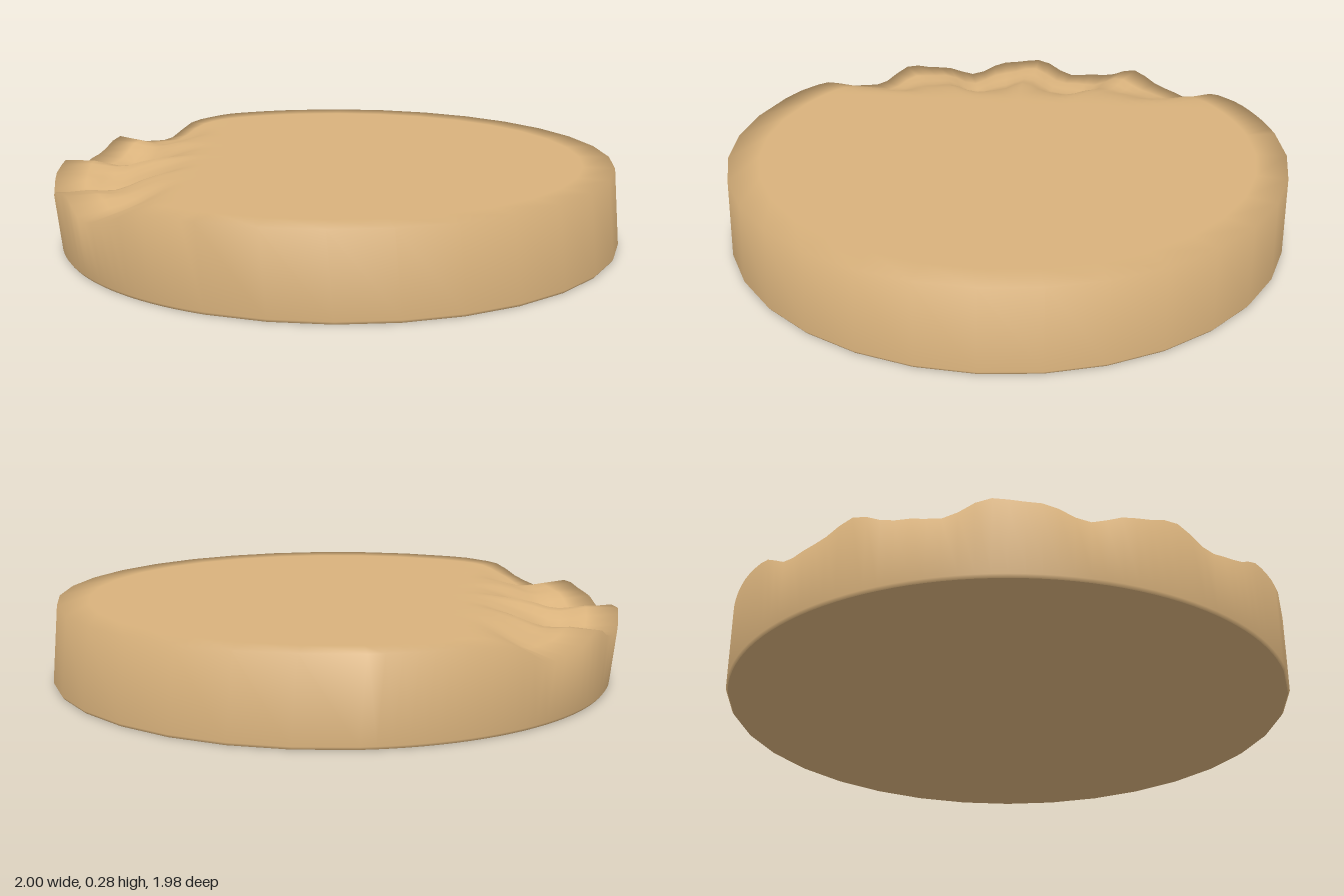
import * as THREE from 'three';

const HEIGHT = 0.28;
const SIDES = 32;
const smooth = (v, a, b) => THREE.MathUtils.smoothstep(v, a, b);

// Crumpled dip on the -x edge: folds fan out radially toward the rim
function dentDepth(x, z) {
  const amount = smooth(-x, 0.47, 0.8);
  if (amount === 0) return 0;
  const a = Math.atan2(z, -x), r = Math.hypot(x, z);
  const folds = 0.058 - 0.028 * Math.cos(13 * a);
  const wrinkles = 0.008 * Math.sin(31 * a + 7 * r);
  const trough = 0.02 * Math.exp(-(((r - 0.79) / 0.08) ** 2));
  return amount * (folds + wrinkles + trough);
}

// Coarse sides all round, with finer steps through the crumpled edge
function ringAngles() {
  const list = [];
  for (let i = 0; i < SIDES; i++) {
    const t = (i / SIDES) * Math.PI * 2;
    const parts = Math.cos(t) < -0.3 ? 4 : 1;
    for (let k = 0; k < parts; k++) list.push(t + ((k / parts) * Math.PI * 2) / SIDES);
  }
  return list;
}

// Joins rings of { r, y, cx, dent } into one smooth surface
function ringSurface(rings, angles) {
  const pos = [], index = [], n = angles.length;
  for (const { r, y, cx = 0, dent = false } of rings) {
    for (const t of angles) {
      const x = cx + r * Math.cos(t), z = r * Math.sin(t);
      pos.push(x, dent ? y - dentDepth(x, z) : y, z);
    }
  }
  for (let i = 0; i < rings.length - 1; i++) {
    for (let j = 0; j < n; j++) {
      const k = (j + 1) % n;
      const a = i * n + j, d = i * n + k, b = a + n, c = d + n;
      if (rings[i].r > 0) index.push(a, d, b);
      if (rings[i + 1].r > 0) index.push(d, c, b);
    }
  }
  const geo = new THREE.BufferGeometry();
  geo.setAttribute('position', new THREE.Float32BufferAttribute(pos, 3));
  geo.setIndex(index);
  geo.computeVertexNormals();
  return geo;
}

export function createModel() {
  const group = new THREE.Group();
  group.name = 'crumpledDisc';
  const material = new THREE.MeshStandardMaterial({ color: 0xd9b27c });
  const angles = ringAngles();

  // Top face and side wall share normals for a soft rim
  const top = [0, 0.35, 0.45, 0.5, 0.55, 0.6, 0.65, 0.7, 0.75, 0.79, 0.83, 0.88, 0.9875]
    .map((r) => ({ r, y: HEIGHT, cx: -0.0125, dent: true }));
  const wall = [
    { r: 0.99, y: 0.01, cx: 0.01 },
    { r: 0.983, y: 0, cx: 0.01 },
  ];
  const body = new THREE.Mesh(ringSurface([...top, ...wall], angles), material);
  body.name = 'body';

  // Flat underside with a sharp edge
  const under = [{ r: 0.983, y: 0, cx: 0.01 }, { r: 0, y: 0, cx: 0.01 }];
  const base = new THREE.Mesh(ringSurface(under, angles), material);
  base.name = 'underside';

  group.add(body, base);
  return group;
}
